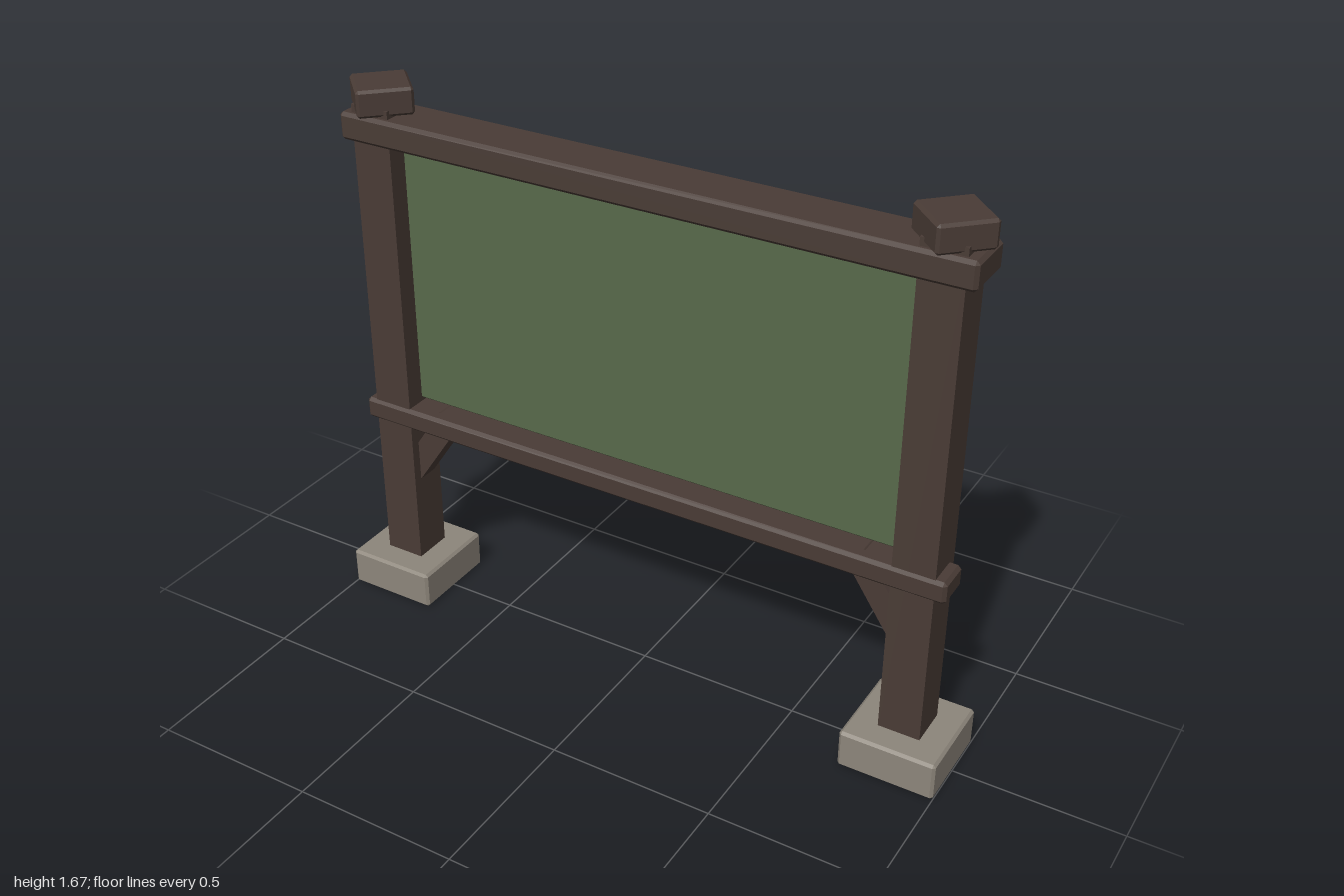
import * as THREE from 'three';
import { ConvexGeometry } from 'three/addons/geometries/ConvexGeometry.js';

const makeMaterial = (name, color) => {
  const m = new THREE.MeshStandardMaterial({ color });
  m.name = name;
  return m;
};

// Box with flat chamfers on every edge
function chamferBox(w, h, d, c) {
  const pts = [];
  for (const sx of [-1, 1]) for (const sy of [-1, 1]) for (const sz of [-1, 1]) {
    for (let axis = 0; axis < 3; axis++) {
      const inset = [c, c, c];
      inset[axis] = 0;
      pts.push(new THREE.Vector3(
        sx * (w / 2 - inset[0]), sy * (h / 2 - inset[1]), sz * (d / 2 - inset[2])));
    }
  }
  return new ConvexGeometry(pts);
}

export function createModel() {
  const group = new THREE.Group();
  group.name = 'signboard';
  const wood = makeMaterial('dark brown wood', 0x4a3c36);
  const green = makeMaterial('green board', 0x586a4b);
  const stone = makeMaterial('grey stone', 0x8d867b);

  const add = (name, geometry, material, x, y, z) => {
    const mesh = new THREE.Mesh(geometry, material);
    mesh.name = name;
    mesh.position.set(x, y, z);
    group.add(mesh);
    return mesh;
  };

  // Rails across both posts
  add('topRail', chamferBox(1.905, 0.082, 0.163, 0.01), wood, 0, 1.545, -0.001);
  add('bottomRail', chamferBox(1.905, 0.068, 0.112, 0.01), wood, 0, 0.628, 0.015);

  // Thick board set into the posts, with raised battens on its back
  add('board', chamferBox(1.79, 0.83, 0.076, 0.005), green, 0, 1.088, -0.038);
  for (const y of [0.682, 0.952, 1.222]) {
    add('batten', new THREE.BoxGeometry(1.72, 0.02, 0.02), green, 0, y, -0.081);
  }

  for (const side of [-1, 1]) {
    const prefix = side < 0 ? 'right' : 'left';
    const x = side * 0.856;

    // Footing, post and turned cap
    add(prefix + 'Footing', chamferBox(0.288, 0.12, 0.288, 0.008), stone, x, 0.06, 0);
    add(prefix + 'Post', new THREE.BoxGeometry(0.125, 1.52, 0.125), wood, x, 0.85, 0);
    const cap = add(prefix + 'Cap', chamferBox(0.161, 0.08, 0.161, 0.008), wood, x, 1.631, 0);
    cap.rotation.y = Math.PI / 4;

    // Diagonal brace from the post up into the bottom rail
    const brace = add(prefix + 'Brace', new THREE.BoxGeometry(0.074, 0.28, 0.066), wood, side * 0.75, 0.528, 0);
    brace.rotation.z = side * -0.593 * -1;

    // Six-sided bolt heads on the back of the board
    for (const y of [0.836, 1.336]) {
      const bolt = add(prefix + 'Bolt', new THREE.CylinderGeometry(0.026, 0.026, 0.022, 6).toNonIndexed(), stone, side * 0.86, y, -0.083);
      bolt.geometry.computeVertexNormals();
      bolt.rotation.x = -Math.PI / 2;
    }
  }
  return group;
}
